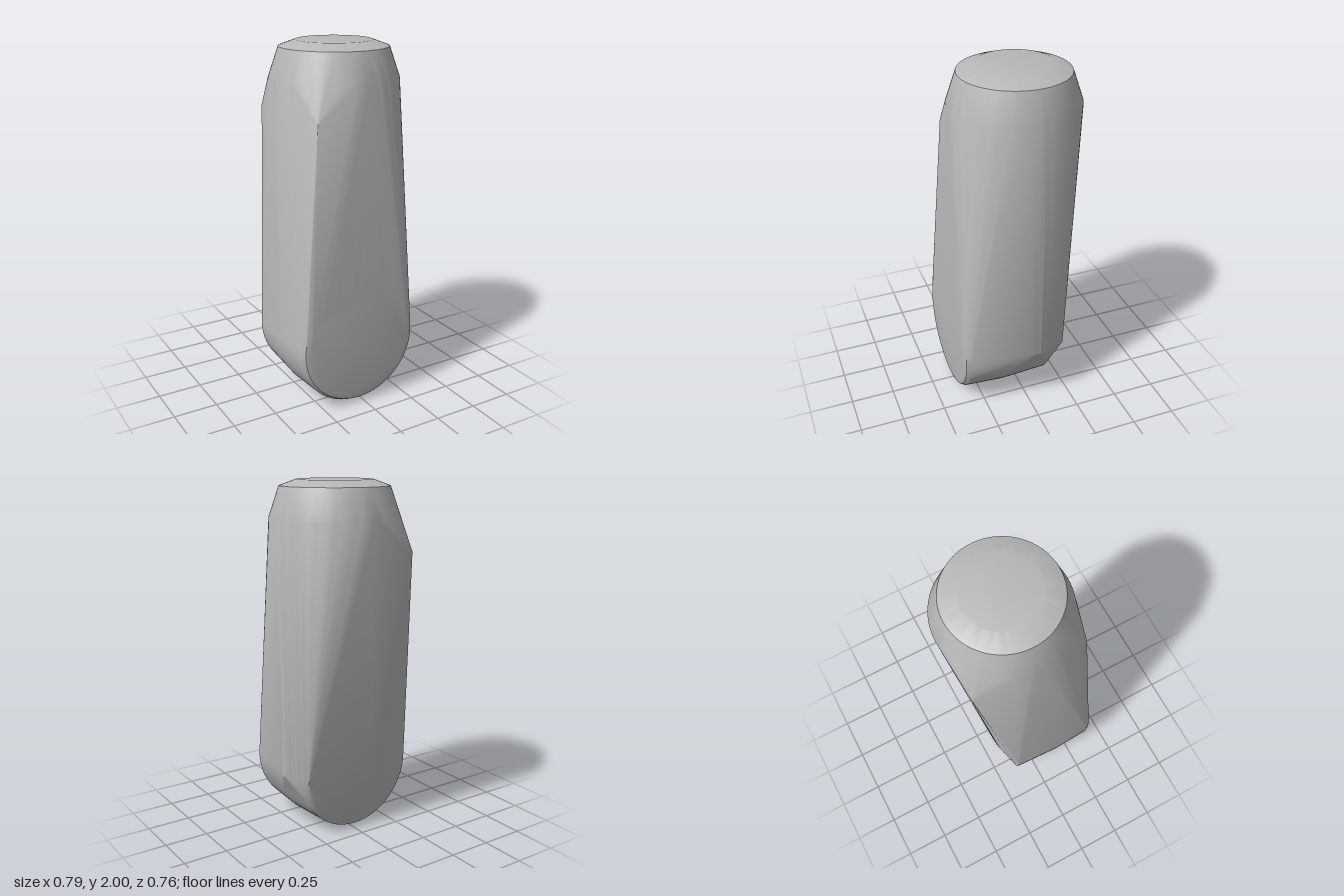
import * as THREE from 'three';
import { ConvexGeometry } from 'three/addons/geometries/ConvexGeometry.js';
import { toCreasedNormals } from 'three/addons/utils/BufferGeometryUtils.js';

const SIDES = 64;

// Horizontal ring (or arc) of the upright round post
function postRing(points, y, radius, from = 0, to = Math.PI * 2, count = SIDES) {
  for (let i = 0; i <= count; i++) {
    if (i === count && to - from > 6.28) break;
    const a = from + (to - from) * i / count;
    points.push(new THREE.Vector3(0.035 + radius * Math.cos(a), y, -0.021 + radius * Math.sin(a)));
  }
}

// Upright ring of the rounded foot, whose axis runs front to back
function footRing(points, z, radius) {
  for (let i = 0; i < SIDES; i++) {
    const a = Math.PI * 2 * i / SIDES;
    points.push(new THREE.Vector3(-0.026 + radius * Math.cos(a), 0.372 + radius * Math.sin(a), z));
  }
}

export function createModel() {
  const group = new THREE.Group();
  group.name = 'roundedPeg';
  const grey = new THREE.MeshStandardMaterial({ color: 0xb8b8b8 });
  grey.name = 'grey';

  const points = [];
  // Round head with a chamfer and a slightly raised cap
  postRing(points, 2, 0.21);
  postRing(points, 1.966, 0.303);
  postRing(points, 1.8, 0.36);
  // Lower end of the post, showing only on the right side
  postRing(points, 0.37, 0.36, -0.56, 0.03, 10);
  // Foot, softened at the front edge
  const foot = [[0.38, 0.325], [0.374, 0.345], [0.35, 0.36], [0.13, 0.372], [-0.14, 0.36], [-0.185, 0.21]];
  for (const [z, radius] of foot) footRing(points, z, radius);
  // Shoulder corners on the left side
  points.push(new THREE.Vector3(-0.25, 1.62, 0.305), new THREE.Vector3(-0.25, 1.62, -0.345));

  const body = new THREE.Mesh(toCreasedNormals(new ConvexGeometry(points), 0.5), grey);
  body.name = 'body';
  group.add(body);
  return group;
}
